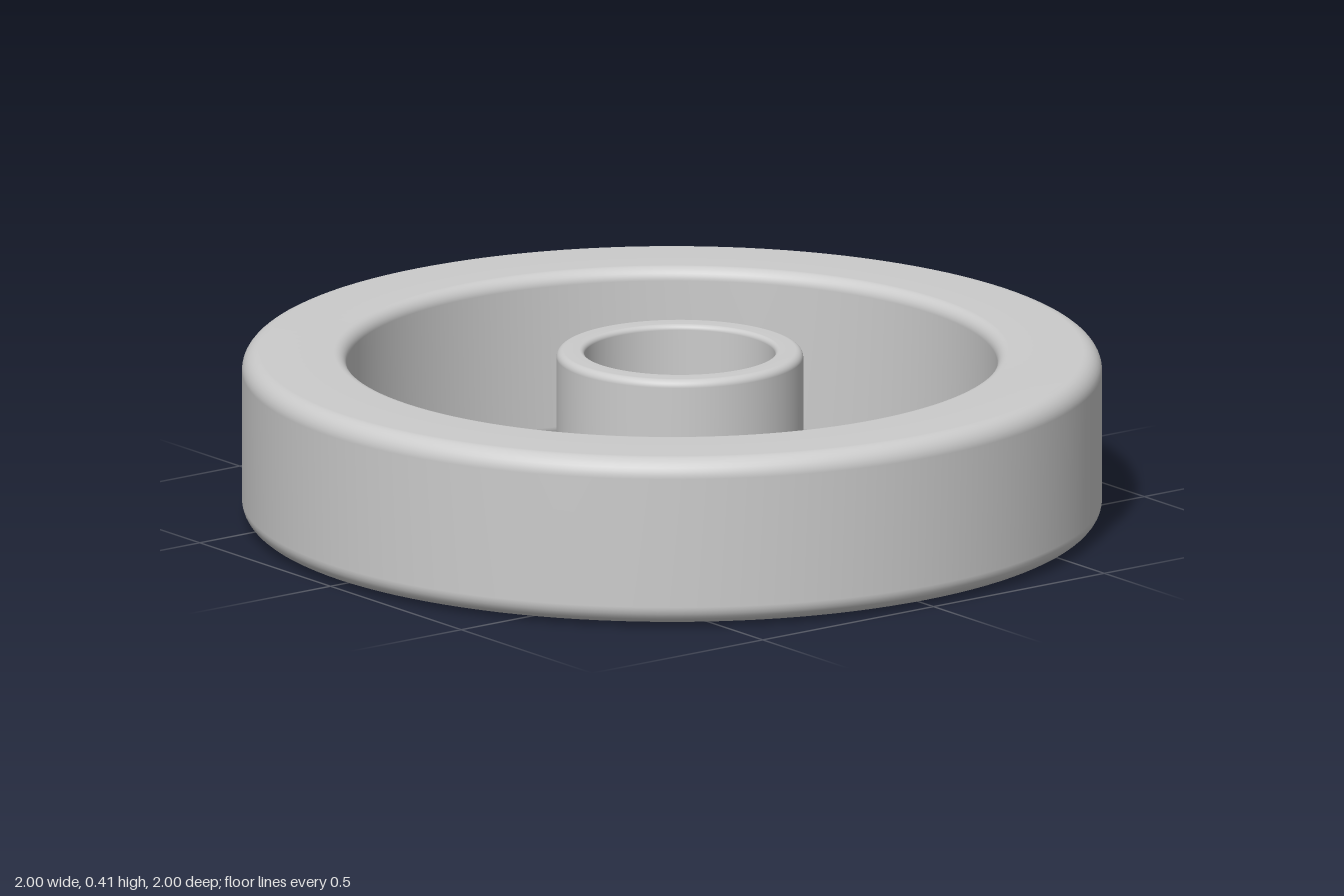
import * as THREE from 'three';

// Closed tube profile (radius, height) with rounded corners, counter-clockwise
function tubeProfile(inner, outer, bottom, top, innerFillet, outerFillet, steps = 8) {
  const pts = [new THREE.Vector2(inner, (bottom + top) / 2)];
  const corners = [
    [inner + innerFillet, bottom + innerFillet, innerFillet, Math.PI],
    [outer - outerFillet, bottom + outerFillet, outerFillet, Math.PI * 1.5],
    [outer - outerFillet, top - outerFillet, outerFillet, 0],
    [inner + innerFillet, top - innerFillet, innerFillet, Math.PI / 2],
  ];
  for (const [cx, cy, r, start] of corners) {
    for (let i = 0; i <= steps; i++) {
      const a = start + (i / steps) * Math.PI / 2;
      pts.push(new THREE.Vector2(cx + r * Math.cos(a), cy + r * Math.sin(a)));
    }
  }
  pts.push(pts[0].clone());
  return pts;
}

export function createModel() {
  const group = new THREE.Group();
  const material = new THREE.MeshStandardMaterial({ color: 0xcccccc });

  const addTube = (name, profile, x, z) => {
    const mesh = new THREE.Mesh(new THREE.LatheGeometry(profile, 128), material);
    mesh.name = name;
    mesh.position.set(x, 0, z);
    group.add(mesh);
  };

  // Wide outer ring with softened edges
  addTube('outerRing', tubeProfile(0.757, 1, 0.007, 0.405, 0.03, 0.045), 0, 0);
  // Free-standing hub sleeve, slightly off centre
  addTube('hubSleeve', tubeProfile(0.222, 0.287, 0, 0.41, 0.012, 0.018), 0.013, 0.013);

  return group;
}
